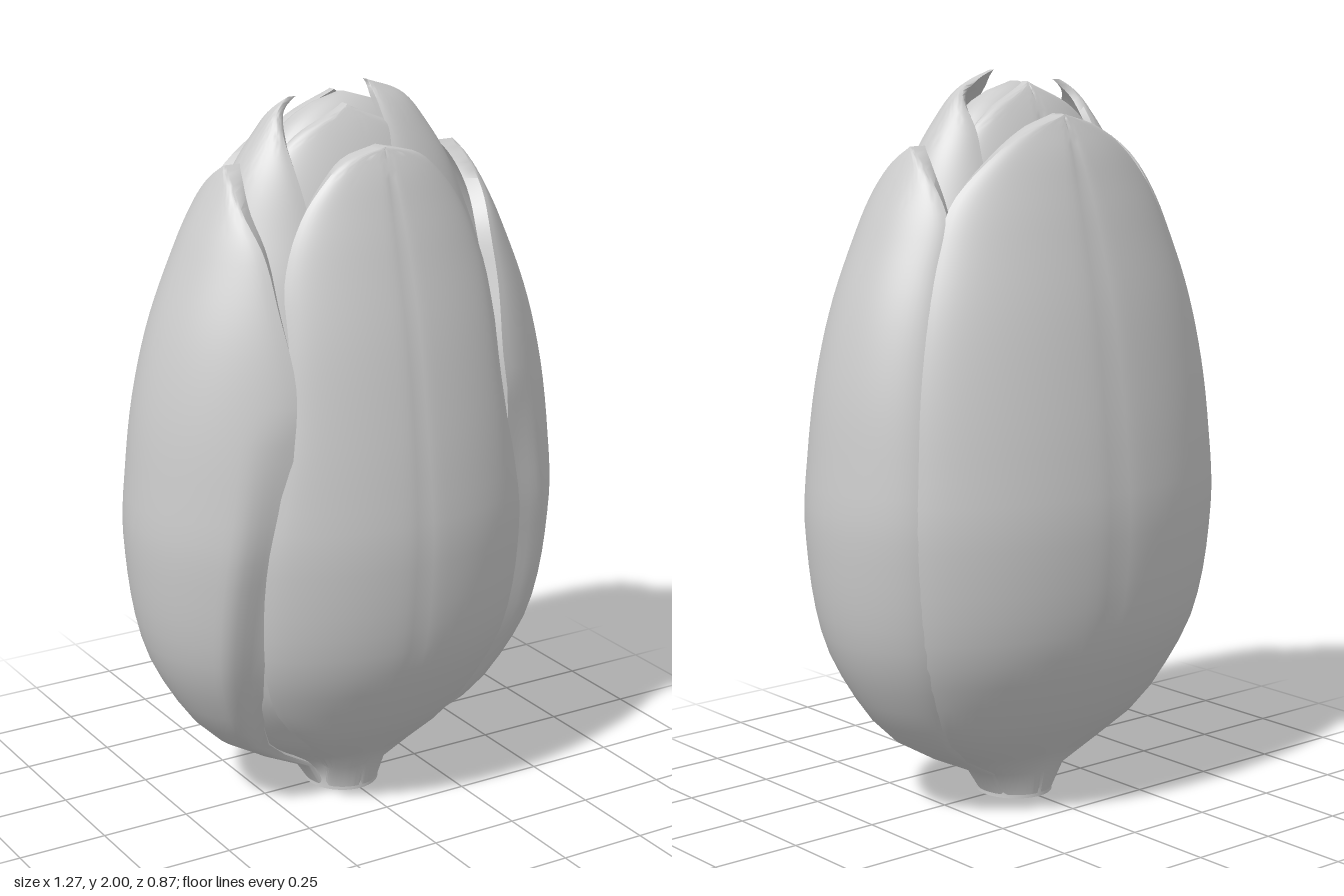
import * as THREE from 'three';
import { toCreasedNormals } from 'three/addons/utils/BufferGeometryUtils.js';

const material = new THREE.MeshStandardMaterial({ color: 0xcccccc, side: THREE.DoubleSide });

// Profiles: [height, half width in x, half depth in z]
const OUTER = [[0, .105, .11], [.04, .11, .11], [.1, .19, .135], [.15, .31, .18], [.2, .39, .23], [.3, .485, .3],
  [.5, .59, .395], [.8, .635, .435], [1, .625, .425], [1.2, .6, .4], [1.4, .55, .365], [1.6, .47, .315],
  [1.7, .42, .285], [1.8, .36, .25], [1.9, .29, .2]];
const FRONT = OUTER.map(([y, a, b]) => [y, y < .05 ? a : a * .88, b]);
const INNER = [[1, .51, .34], [1.2, .48, .32], [1.5, .42, .255], [1.65, .37, .21], [1.78, .315, .168],
  [1.88, .25, .125], [1.95, .19, .08], [2, .1, .03]];
const CORE = [[0, .104, .109], [.04, .108, .108], [.1, .165, .115], [.2, .33, .19], [.4, .47, .3], [.8, .53, .35],
  [1.2, .47, .31], [1.5, .385, .23], [1.7, .305, .165], [1.82, .235, .12], [1.9, .165, .08], [1.95, .08, .04],
  [1.97, .01, .01]];

// Petal edges: [height, start angle, end angle], degrees around y from the front
const symmetric = (centre, rows) => rows.map(([y, h]) => [y, centre - h, centre + h]);
const mirrored = rows => rows.map(([y, lo, hi]) => [y, -hi, -lo]);

const FRONT_EDGES = symmetric(0, [[.01, 60], [.1, 45], [.2, 37], [.3, 46], [.4, 48.6], [.6, 48.4], [.8, 46.3],
  [1, 42], [1.2, 39], [1.4, 41.4], [1.55, 45], [1.7, 41], [1.8, 30], [1.84, 19], [1.86, 0]]);
const BACK_EDGES = symmetric(180, [[.01, 62], [.3, 56], [.8, 57], [1.4, 57], [1.62, 56], [1.7, 52], [1.8, 37],
  [1.86, 20], [1.89, 0]]);
const SIDE_EDGES = [[.01, 60, 125], [.1, 60, 126], [.3, 49, 126], [.5, 44, 126], [.7, 40, 126], [.9, 36, 126],
  [1.1, 34, 126], [1.3, 34, 126], [1.5, 42, 126], [1.62, 50, 126], [1.7, 62, 118], [1.77, 76, 104], [1.81, 90, 90]];
const INNER_LEFT_EDGES = [[1, 0, 150], [1.6, 5, 146], [1.78, 12, 138], [1.88, 18, 125], [1.96, 24, 90], [2, 40, 40]];
const INNER_RIGHT_EDGES = [[1, -152, -28], [1.6, -148, -30], [1.78, -138, -40], [1.9, -120, -62], [1.97, -88, -88]];
const INNER_FRONT_EDGES = symmetric(-8, [[1, 75], [1.6, 70], [1.78, 60], [1.88, 42], [1.95, 0]]);
const INNER_BACK_EDGES = symmetric(180, [[1, 75], [1.6, 72], [1.8, 62], [1.9, 42], [1.97, 0]]);

// Smooth interpolation of table rows by their first column
function sample(table, y) {
  let i = 0;
  while (i < table.length - 2 && y > table[i + 1][0]) i++;
  const slope = (k, c) => {
    const p = table[Math.max(k - 1, 0)], q = table[Math.min(k + 1, table.length - 1)];
    return (q[c] - p[c]) / (q[0] - p[0]);
  };
  const p = table[i], q = table[i + 1], h = q[0] - p[0];
  const t = THREE.MathUtils.clamp((y - p[0]) / h, 0, 1);
  const s = t * t * (3 - 2 * t);
  return [1, 2].map(c => p[c] + (q[c] - p[c]) * s
    + h * (slope(i, c) * t * (1 - t) ** 2 - slope(i + 1, c) * t * t * (1 - t)));
}

// A curved slab wrapped round an elliptical profile, closing at its tip.
// curl rolls one edge inward: +1 the end edge, -1 the start edge
function petal(name, profile, edges, { scale = 1, thickness = .05, rib = 0, curl = 0 } = {}) {
  const rows = 44, cols = 36, ring = 2 * (cols + 1);
  const y0 = edges[0][0], y1 = edges[edges.length - 1][0];
  const positions = [], index = [];
  for (let i = 0; i <= rows; i++) {
    const y = y0 + (y1 - y0) * Math.sin(i / rows * Math.PI / 2);
    const [A, B] = sample(profile, y).map(v => v * scale);
    const [lo, hi] = sample(edges, y);
    const roll = .06 * Math.sin(Math.PI * THREE.MathUtils.clamp(y / 1.2, 0, 1));
    for (let k = 0; k < ring; k++) {
      const inside = k > cols;
      const u = (inside ? ring - 1 - k : k) / cols * 2 - 1;
      const phi = THREE.MathUtils.degToRad((lo + hi) / 2 + u * (hi - lo) / 2);
      const nx = Math.sin(phi) / A, nz = Math.cos(phi) / B, n = Math.hypot(nx, nz);
      // Rounded rims, a fine groove down the middle and the rolled edge
      const depth = (inside ? Math.min(thickness, B * .4)
        : Math.min(.01, B * .1) * u ** 10 + rib * Math.exp(-((u / .05) ** 2)))
        + roll * THREE.MathUtils.smoothstep(u * curl, .68, 1);
      positions.push(A * Math.sin(phi) - depth * nx / n, y, B * Math.cos(phi) - depth * nz / n);
      if (i < rows) {
        const a = i * ring + k, b = i * ring + (k + 1) % ring;
        index.push(a, b, b + ring, a, b + ring, a + ring);
      }
    }
  }
  const geometry = new THREE.BufferGeometry();
  geometry.setAttribute('position', new THREE.Float32BufferAttribute(positions, 3));
  geometry.setIndex(index);
  const mesh = new THREE.Mesh(toCreasedNormals(geometry, .8), material);
  mesh.name = name;
  return mesh;
}

// Solid heart of the bud, with the flat cut stem at its foot
function core() {
  const geometry = new THREE.CylinderGeometry(1, 1, 1, 48, 80);
  const p = geometry.attributes.position;
  for (let i = 0; i < p.count; i++) {
    const y = (p.getY(i) + .5) * 1.97;
    const [A, B] = sample(CORE, y);
    p.setXYZ(i, p.getX(i) * A, y, p.getZ(i) * B);
  }
  const mesh = new THREE.Mesh(toCreasedNormals(geometry, .8), material);
  mesh.name = 'budCoreAndStem';
  return mesh;
}

export function createModel() {
  const group = new THREE.Group();
  group.name = 'tulipBud';
  group.add(
    core(),
    // Outer whorl
    petal('frontPetal', FRONT, FRONT_EDGES, { rib: .004 }),
    petal('backPetal', OUTER, BACK_EDGES, { scale: 1.002, rib: .005 }),
    petal('leftPetal', OUTER, SIDE_EDGES, { scale: .998, curl: -1 }),
    petal('rightPetal', OUTER, mirrored(SIDE_EDGES), { scale: .998, curl: 1 }),
    // Inner whorl
    petal('innerLeftPetal', INNER, INNER_LEFT_EDGES, { thickness: .03 }),
    petal('innerRightPetal', INNER, INNER_RIGHT_EDGES, { scale: 1.02, thickness: .03 }),
    petal('innerFrontPetal', INNER, INNER_FRONT_EDGES, { scale: .94, thickness: .03 }),
    petal('innerBackPetal', INNER, INNER_BACK_EDGES, { scale: .92, thickness: .03, rib: .004 }),
  );
  return group;
}
